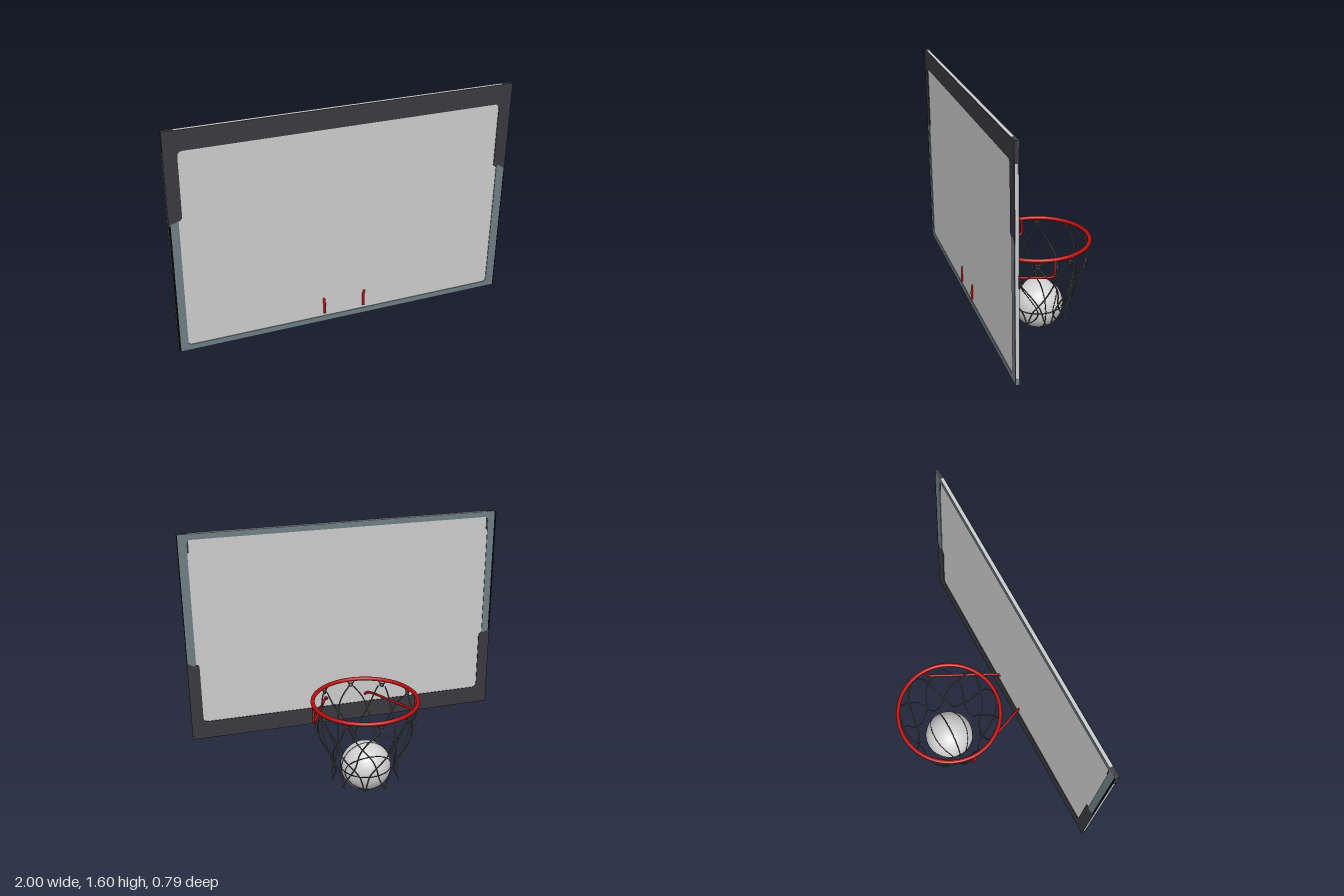
import * as THREE from 'three';

const mat = (name, color) => new THREE.MeshStandardMaterial({ name, color });
const V = (x, y, z) => new THREE.Vector3(x, y, z);

export function createModel() {
  const glass = mat('light grey', 0xcacaca);
  const charcoal = mat('charcoal', 0x39383e);
  const slate = mat('slate grey', 0x6d7d84);
  const black = mat('black', 0x060606);
  const red = mat('rim red', 0xb80e0e);
  const cord = mat('net grey', 0x585858);
  const ballGrey = mat('ball grey', 0xd0d0d0);

  const model = new THREE.Group();
  const add = (parent, name, geometry, material, x = 0, y = 0, z = 0) => {
    const m = new THREE.Mesh(geometry, material);
    m.name = name;
    m.position.set(x, y, z);
    parent.add(m);
    return m;
  };
  const tube = (points, radius, segments, closed = false, sides = 8) =>
    new THREE.TubeGeometry(new THREE.CatmullRomCurve3(points, closed, 'centripetal'), segments, radius, sides, closed);

  // Backboard: glass core with two-tone trim; the back trim is the front one turned over
  const board = new THREE.Group();
  board.name = 'backboard';
  board.position.set(0, 0.93, 0.379);
  model.add(board);
  const H = 0.665;
  add(board, 'glassPanel', new THREE.BoxGeometry(1.998, 2 * H, 0.016), glass);
  for (const s of [-1, 1]) {
    add(board, 'upperCornerCap', new THREE.BoxGeometry(0.065, 0.115, 0.0165), charcoal, s * 0.9675, H - 0.057, 0);
    add(board, 'lowerCornerCap', new THREE.BoxGeometry(0.055, 0.038, 0.0165), slate, s * 0.9725, 0.0185 - H, 0);
  }

  // U-shaped trim opening downwards, with rounded inner corners and slanted ends
  const trimShape = (top, inner, innerX, endOuter, endInner, r) => {
    const s = new THREE.Shape();
    s.moveTo(-1, top);
    s.lineTo(-1, endOuter);
    s.lineTo(-innerX - 0.012, endInner - 0.012);
    s.lineTo(-innerX, endInner);
    s.lineTo(-innerX, inner - r);
    s.quadraticCurveTo(-innerX, inner, -innerX + r, inner);
    s.lineTo(innerX - r, inner);
    s.quadraticCurveTo(innerX, inner, innerX, inner - r);
    s.lineTo(innerX, endInner);
    s.lineTo(innerX + 0.012, endInner - 0.012);
    s.lineTo(1, endOuter);
    s.lineTo(1, top);
    return s;
  };
  const plate = (shape) => new THREE.ExtrudeGeometry(shape, { depth: 0.004, bevelEnabled: false, curveSegments: 6 });
  const darkTrim = plate(trimShape(H, 0.55, 0.925, 0.14, 0.17, 0.03));
  const lightTrim = plate(trimShape(H, 0.63, 0.945, -0.14, -0.155, 0.025));
  lightTrim.rotateZ(Math.PI);
  for (const side of ['front', 'back']) {
    const face = new THREE.Group();
    face.name = side + 'Trim';
    if (side === 'back') face.rotation.x = Math.PI;
    board.add(face);
    add(face, 'darkTrim', darkTrim, charcoal, 0, 0, 0.008);
    add(face, 'lightTrim', lightTrim, slate, 0, 0, 0.008);
    add(face, 'edgeSeal', new THREE.BoxGeometry(0.011, 0.8, 0.001), black, -0.9945, -0.262, 0.0122);
    add(face, 'edgeSeal', new THREE.BoxGeometry(0.004, 0.8, 0.001), black, 0.998, -0.262, 0.0122);
  }

  // Rim
  const hoop = new THREE.Group();
  hoop.name = 'hoop';
  hoop.position.set(-0.007, 0, -0.063);
  model.add(hoop);
  const R = 0.319;
  add(hoop, 'rim', new THREE.TorusGeometry(R, 0.0125, 12, 64).rotateX(Math.PI / 2), red, 0, 0.602, 0);

  // Bent support rods, narrowing towards the board and passing through it
  const rodProfile = [[0, 0.602], [0, 0.56], [0, 0.518], [0.004, 0.499], [0.02, 0.489], [0.06, 0.485], [0.22, 0.473],
    [0.37, 0.462], [0.41, 0.452], [0.435, 0.434], [0.448, 0.41], [0.453, 0.37], [0.453, 0.32]];
  for (const s of [-1, 1]) {
    const pts = rodProfile.map(([z, y]) => V(s * (0.323 - 0.2 * z / 0.453), y, z));
    add(hoop, s > 0 ? 'leftRod' : 'rightRod', tube(pts, 0.008, 64), red);
  }

  // Net: ten hooks, each with two strands spiralling opposite ways
  const COUNT = 10;
  const profile = new THREE.CatmullRomCurve3([V(0.318, 0.56, 0), V(0.307, 0.47, 0), V(0.278, 0.37, 0),
    V(0.232, 0.26, 0), V(0.204, 0.18, 0), V(0.216, 0.09, 0)]);
  const hookGeo = new THREE.TorusGeometry(0.02, 0.0045, 6, 12, Math.PI).rotateZ(Math.PI);
  const loopGeo = new THREE.TorusGeometry(0.011, 0.005, 6, 12);
  for (let i = 0; i < COUNT; i++) {
    const a = i / COUNT * Math.PI * 2;
    const x = Math.sin(a) * R, z = Math.cos(a) * R;
    add(hoop, 'netHook', hookGeo, red, x, 0.593, z).rotation.y = a;
    add(hoop, 'netLoop', loopGeo, cord, x, 0.566, z).rotation.y = a;
    for (const s of [-1, 1]) {
      const pts = [];
      for (let k = 0; k <= 12; k++) {
        const t = k / 12, p = profile.getPoint(t);
        const b = a + s * (0.03 + 0.92 * t + 0.04 * Math.sin(t * 9 + i * 2.3));
        pts.push(V(Math.sin(b) * p.x, p.y, Math.cos(b) * p.x));
      }
      add(hoop, 'netStrand', tube(pts, 0.0045, 28, false, 6), cord);
    }
  }

  // Ball with two great-circle seams and two curved side seams
  const ball = new THREE.Group();
  ball.name = 'ball';
  ball.position.set(-0.009, 0.157, -0.067);
  model.add(ball);
  const B = 0.156;
  add(ball, 'ballSkin', new THREE.SphereGeometry(B, 48, 32), ballGrey);
  const ring = new THREE.TorusGeometry(B - 0.0015, 0.0035, 6, 64);
  add(ball, 'uprightSeam', ring, black);
  add(ball, 'levelSeam', ring, black).rotation.x = Math.PI / 2;
  for (const s of [-1, 1]) {
    const pts = [];
    for (let k = 0; k < 32; k++) {
      const t = k / 32 * Math.PI * 2;
      const x = 0.95 * Math.cos(t), y = 0.72 * Math.sin(t);
      pts.push(V(x, y, s * Math.sqrt(1 - x * x - y * y)).multiplyScalar(B - 0.0015));
    }
    add(ball, 'curvedSeam', tube(pts, 0.0035, 72, true, 6), black);
  }
  return model;
}
